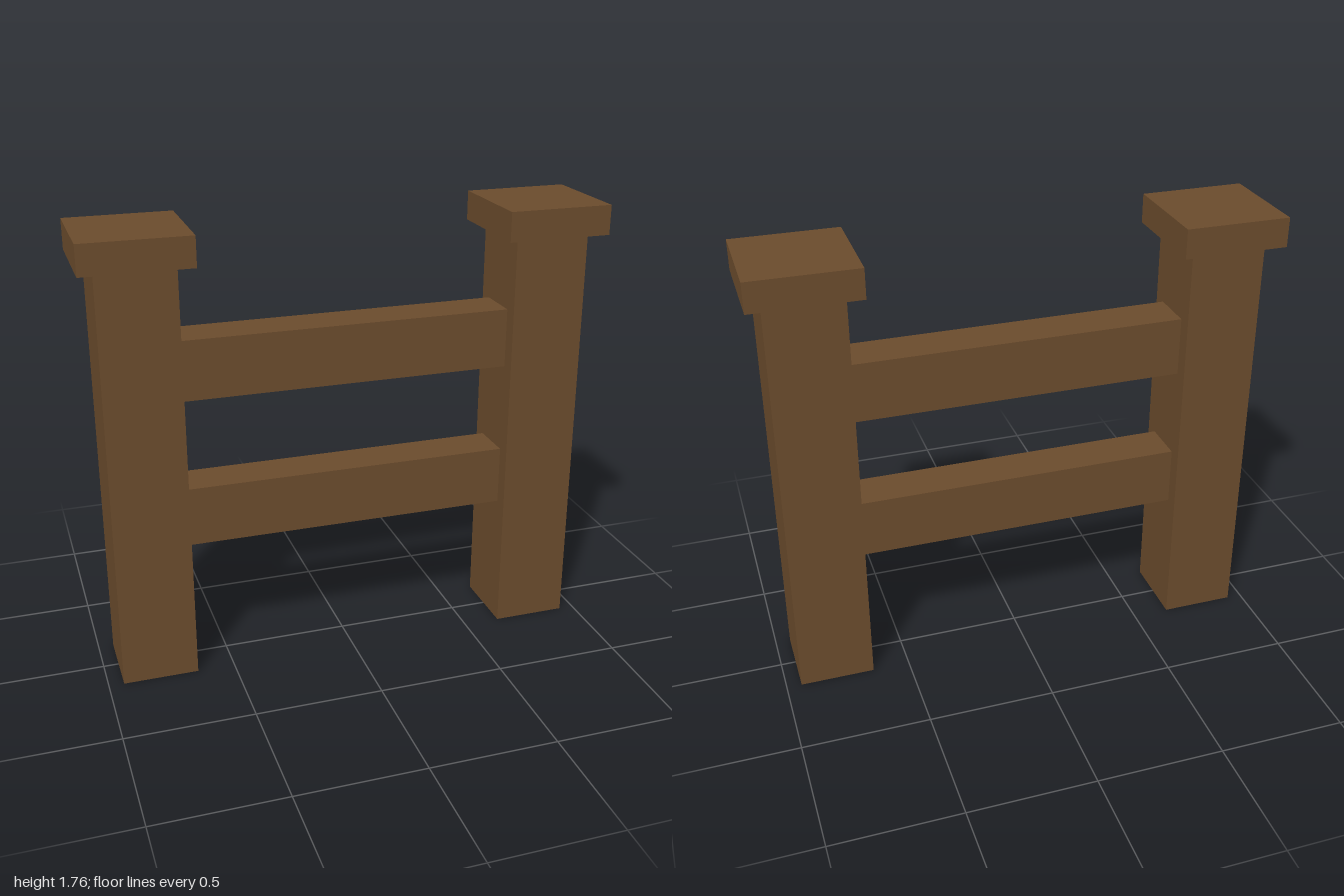
import * as THREE from 'three';

export function createModel() {
  const group = new THREE.Group();
  group.name = 'fence';
  const wood = new THREE.MeshStandardMaterial({ color: 0x6a4b2c });
  wood.name = 'brown wood';

  // Adds a box standing on height y
  const addBox = (name, w, h, d, x, y) => {
    const mesh = new THREE.Mesh(new THREE.BoxGeometry(w, h, d), wood);
    mesh.name = name;
    mesh.position.set(x, y + h / 2, 0);
    group.add(mesh);
  };

  // Posts with square caps
  for (const [side, s] of [['left', 1], ['right', -1]]) {
    addBox(side + 'Post', 0.294, 1.65, 0.294, s * 0.794, 0);
    addBox(side + 'Cap', 0.41, 0.115, 0.41, s * 0.795, 1.65);
  }

  // Horizontal rails between the posts
  addBox('lowerRail', 1.3, 0.234, 0.176, 0, 0.531);
  addBox('upperRail', 1.3, 0.234, 0.176, 0, 1.121);

  return group;
}
